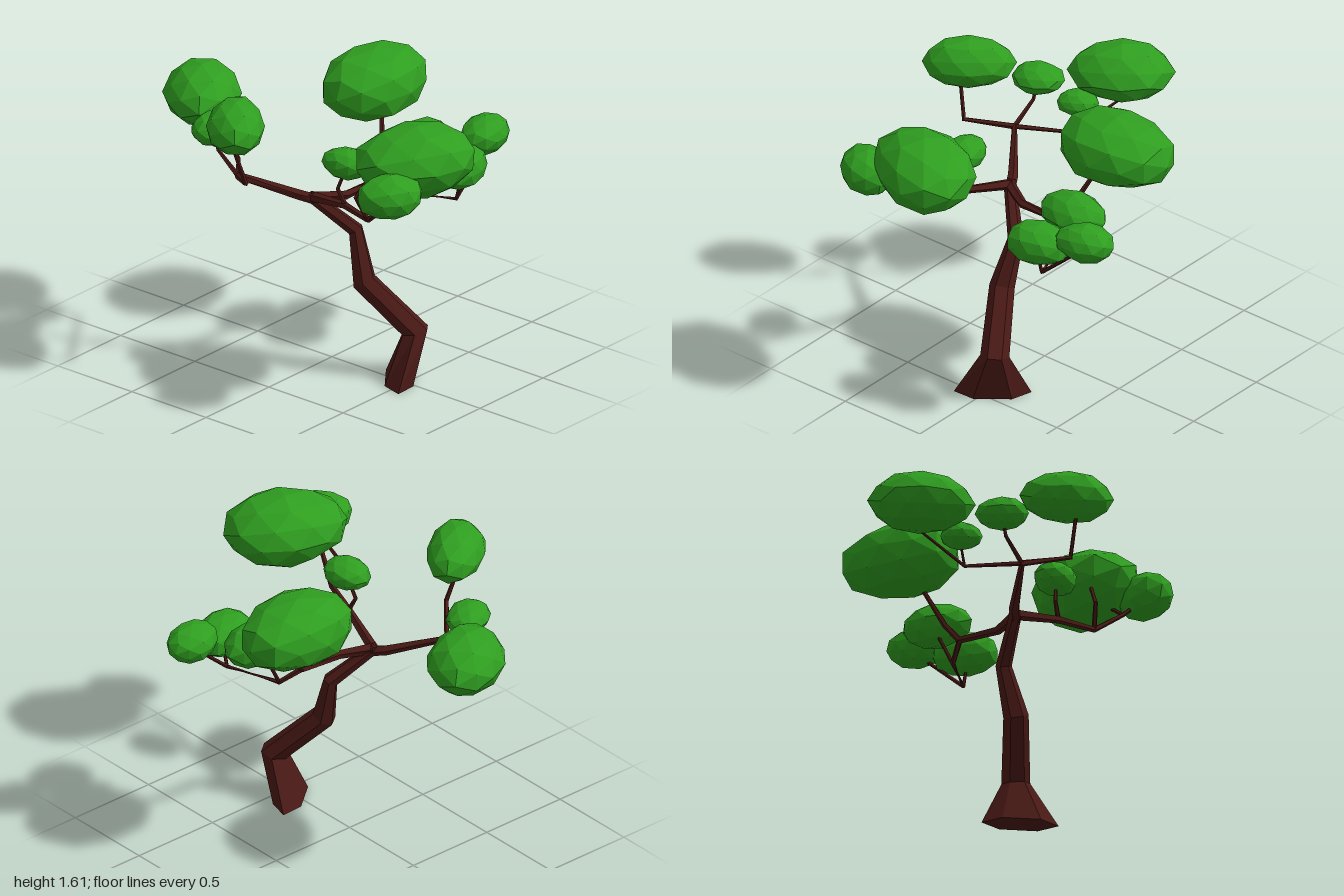
import * as THREE from 'three';

const bark = new THREE.MeshStandardMaterial({ color: 0x4a1a16, flatShading: true });
const leaf = new THREE.MeshStandardMaterial({ color: 0x2f9e20, flatShading: true });

// Sweeps a polygon along points [x, y, z, radius, longRadius?]; the long radius lies along ref.
function sweep(path, sides, ref, flatBase = false) {
  const pts = path.map(p => new THREE.Vector3(p[0], p[1], p[2]));
  const pos = [], index = [], last = pts.length - 1;
  pts.forEach((p, i) => {
    const t = new THREE.Vector3();
    if (i > 0) t.add(p.clone().sub(pts[i - 1]).normalize());
    if (i < last) t.add(pts[i + 1].clone().sub(p).normalize());
    if (i === 0 && flatBase) t.set(0, 1, 0);
    t.normalize();
    const u = ref.clone().addScaledVector(t, -ref.dot(t)).normalize();
    const v = t.clone().cross(u);
    const r = path[i][3], long = path[i][4] ?? r;
    for (let k = 0; k < sides; k++) {
      const a = k / sides * Math.PI * 2;
      const q = p.clone().addScaledVector(u, Math.cos(a) * long).addScaledVector(v, Math.sin(a) * r);
      pos.push(q.x, q.y, q.z);
      if (i < last) {
        const a0 = i * sides + k, a1 = i * sides + (k + 1) % sides;
        index.push(a0, a1, a1 + sides, a0, a1 + sides, a0 + sides);
      }
    }
  });
  // end caps
  for (let k = 1; k < sides - 1; k++) {
    index.push(0, k + 1, k);
    index.push(last * sides, last * sides + k, last * sides + k + 1);
  }
  const g = new THREE.BufferGeometry();
  g.setAttribute('position', new THREE.Float32BufferAttribute(pos, 3));
  g.setIndex(index);
  g.computeVertexNormals();
  return g;
}

// Faceted leaf clump; vertices are nudged in and out by a smooth rule so each differs a little.
function clump(seed) {
  const g = new THREE.IcosahedronGeometry(1, 1);
  const p = g.attributes.position, v = new THREE.Vector3();
  for (let i = 0; i < p.count; i++) {
    v.fromBufferAttribute(p, i);
    const n = Math.sin(v.x * 5 + seed * 1.7) + Math.sin(v.y * 6 + seed * 2.3) + Math.sin(v.z * 5 + seed * 3.1);
    v.multiplyScalar(1.01 + 0.018 * n);
    p.setXYZ(i, v.x, v.y, v.z);
  }
  g.computeVertexNormals();
  return g;
}

export function createModel() {
  const tree = new THREE.Group();
  const add = (name, geometry, material) => {
    const m = new THREE.Mesh(geometry, material);
    m.name = name;
    tree.add(m);
    return m;
  };

  // Leaning trunk with a flared, flattened foot
  add('trunk', sweep([
    [0.44, 0, -0.02, 0.085, 0.2],
    [0.495, 0.265, -0.08, 0.075],
    [0.27, 0.525, 0.06, 0.066],
    [0.19, 0.785, 0.035, 0.042],
    [0.04, 0.98, 0.2, 0.032],
  ], 6, new THREE.Vector3(0.62, 0, 0.78), true), bark);

  // Limbs and twigs
  const limbs = {
    rightLimb: [[0.07, 0.96, 0.18, 0.03], [-0.02, 0.985, 0.23, 0.028], [-0.27, 1.09, 0.43, 0.02],
      [-0.07, 1.16, 0.6, 0.013], [-0.11, 1.38, 0.66, 0.01]],
    rightTwigInner: [[-0.27, 1.09, 0.43, 0.014], [-0.41, 1.19, 0.42, 0.01], [-0.44, 1.27, 0.42, 0.008]],
    rightLowBranch: [[-0.27, 1.09, 0.43, 0.014], [-0.46, 1.055, 0.2, 0.01], [-0.72, 1.2, 0.07, 0.007]],
    rightLowTwig: [[-0.46, 1.055, 0.2, 0.008], [-0.55, 1.15, 0.23, 0.006]],
    backLimb: [[0.04, 0.98, 0.21, 0.032], [0.13, 0.965, 0.04, 0.024], [0.14, 0.97, -0.2, 0.02],
      [0.11, 1.06, -0.27, 0.016], [0.03, 1.26, -0.36, 0.012]],
    backLowBranch: [[0.14, 0.97, -0.2, 0.016], [0.22, 0.89, -0.29, 0.014], [0.5, 0.9, -0.4, 0.011],
      [0.5, 1.12, -0.65, 0.009]],
    backTwigInner: [[0.22, 0.89, -0.29, 0.011], [0.22, 1.09, -0.39, 0.009]],
    backTwigOuter: [[0.5, 0.9, -0.4, 0.01], [0.54, 1.05, -0.4, 0.008]],
    leftLimb: [[0.02, 0.975, 0.19, 0.03], [0.33, 1.045, 0.28, 0.02], [0.55, 1.055, 0.36, 0.016],
      [0.72, 1.19, 0.43, 0.012], [0.79, 1.27, 0.48, 0.01]],
    leftTwigInner: [[0.33, 1.045, 0.28, 0.014], [0.285, 1.13, 0.29, 0.011], [0.32, 1.24, 0.27, 0.009]],
    leftTwigUpper: [[0.55, 1.055, 0.36, 0.014], [0.5, 1.18, 0.4, 0.012], [0.56, 1.32, 0.33, 0.01]],
    leftTwigOuter: [[0.72, 1.19, 0.43, 0.011], [0.73, 1.27, 0.32, 0.009]],
  };
  const ref = new THREE.Vector3(0.8, 0.1, -0.6).normalize();
  for (const [name, path] of Object.entries(limbs)) add(name, sweep(path, 5, ref), bark);

  // Leaf clumps: name, centre, radii, turn about y
  const clumps = [
    ['rightCanopy', [-0.77, 1.31, 0.125], [0.2, 0.153, 0.27], 0.65],
    ['backCanopy', [-0.07, 1.39, -0.42], [0.24, 0.185, 0.33], 0.05],
    ['leftCanopy', [0.735, 1.395, 0.195], [0.245, 0.188, 0.33], -0.45],
    ['frontCanopy', [-0.125, 1.475, 0.615], [0.15, 0.132, 0.24], 0.67],
    ['leftOuterClump', [0.82, 1.315, 0.5], [0.14, 0.118, 0.175], -0.5],
    ['rightFrontClump', [-0.447, 1.303, 0.42], [0.11, 0.08, 0.138], 0.5],
    ['rightLowClump', [-0.55, 1.18, 0.235], [0.09, 0.068, 0.11], 0.6],
    ['leftInnerClump', [0.325, 1.278, 0.265], [0.137, 0.08, 0.105], 0.1],
    ['backInnerClump', [0.265, 1.15, -0.415], [0.135, 0.11, 0.19], 0.1],
    ['backLowClump', [0.525, 1.09, -0.4], [0.13, 0.11, 0.178], 0.25],
    ['backOuterClump', [0.47, 1.17, -0.665], [0.12, 0.1, 0.16], 0.3],
  ];
  clumps.forEach(([name, centre, radii, turn], i) => {
    const m = add(name, clump(i + 1), leaf);
    m.position.set(...centre);
    m.scale.set(...radii);
    m.rotation.y = turn;
  });
  return tree;
}
